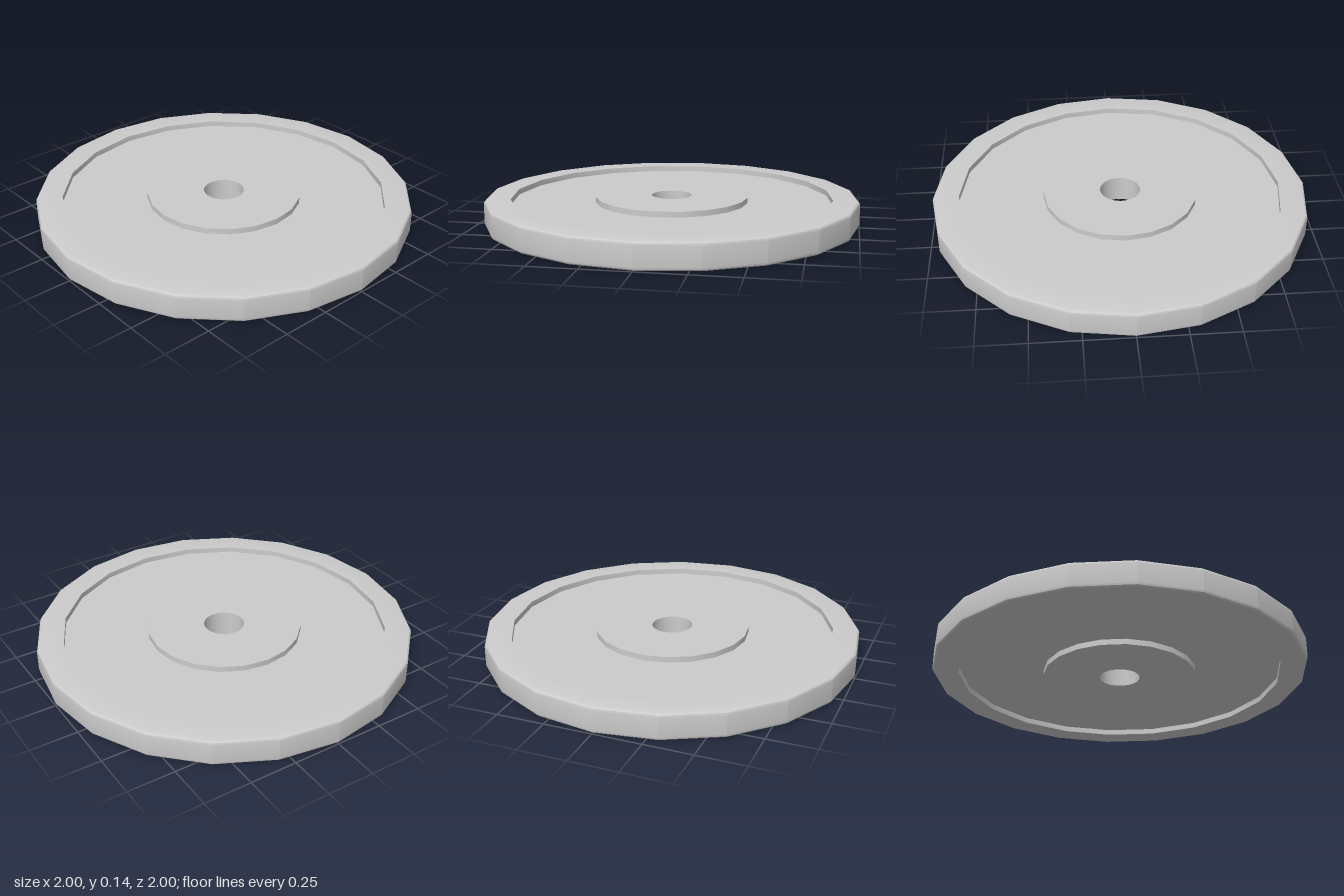
import * as THREE from 'three';
import { toCreasedNormals } from 'three/addons/utils/BufferGeometryUtils.js';

const SIDES = 20, HEIGHT = 0.14, RECESS = 0.03;
const OUTER = 1, RIM_INNER = 0.86, HUB = 0.41, BORE = 0.107, ROUND = 0.018;
const CREASE = 0.35; // smooth around the disc, sharp across the profile

export function createModel() {
  const group = new THREE.Group();
  group.name = 'weightPlate';
  const material = new THREE.MeshStandardMaterial({ color: 0xcccccc });
  const add = (name, geometry) => {
    const mesh = new THREE.Mesh(toCreasedNormals(geometry, CREASE), material);
    mesh.name = name;
    group.add(mesh);
  };

  // Rim with rounded outer edges, and the thinner web recessed on both faces
  const corner = (cy, start) => [0, 1, 2, 3].map((i) => {
    const a = start + (i / 3) * Math.PI / 2;
    return [OUTER - ROUND + ROUND * Math.cos(a), cy + ROUND * Math.sin(a)];
  });
  const profile = [
    [HUB - 0.02, RECESS], [RIM_INNER, RECESS], [RIM_INNER, 0],
    ...corner(ROUND, -Math.PI / 2),
    ...corner(HEIGHT - ROUND, 0),
    [RIM_INNER, HEIGHT], [RIM_INNER, HEIGHT - RECESS], [HUB - 0.02, HEIGHT - RECESS],
  ].map(([r, y]) => new THREE.Vector2(r, y));
  add('rimAndWeb', new THREE.LatheGeometry(profile, SIDES));

  // Raised hub with a round bore through it
  const outline = [];
  for (let i = 0; i < SIDES; i++) {
    const a = (i / SIDES) * Math.PI * 2;
    outline.push(new THREE.Vector2(HUB * Math.cos(a), HUB * Math.sin(a)));
  }
  const shape = new THREE.Shape(outline);
  shape.holes.push(new THREE.Path().absarc(0, 0, BORE, 0, Math.PI * 2, true));
  const hub = new THREE.ExtrudeGeometry(shape, { depth: HEIGHT, bevelEnabled: false, curveSegments: 20 });
  add('hub', hub.rotateX(-Math.PI / 2));

  return group;
}
